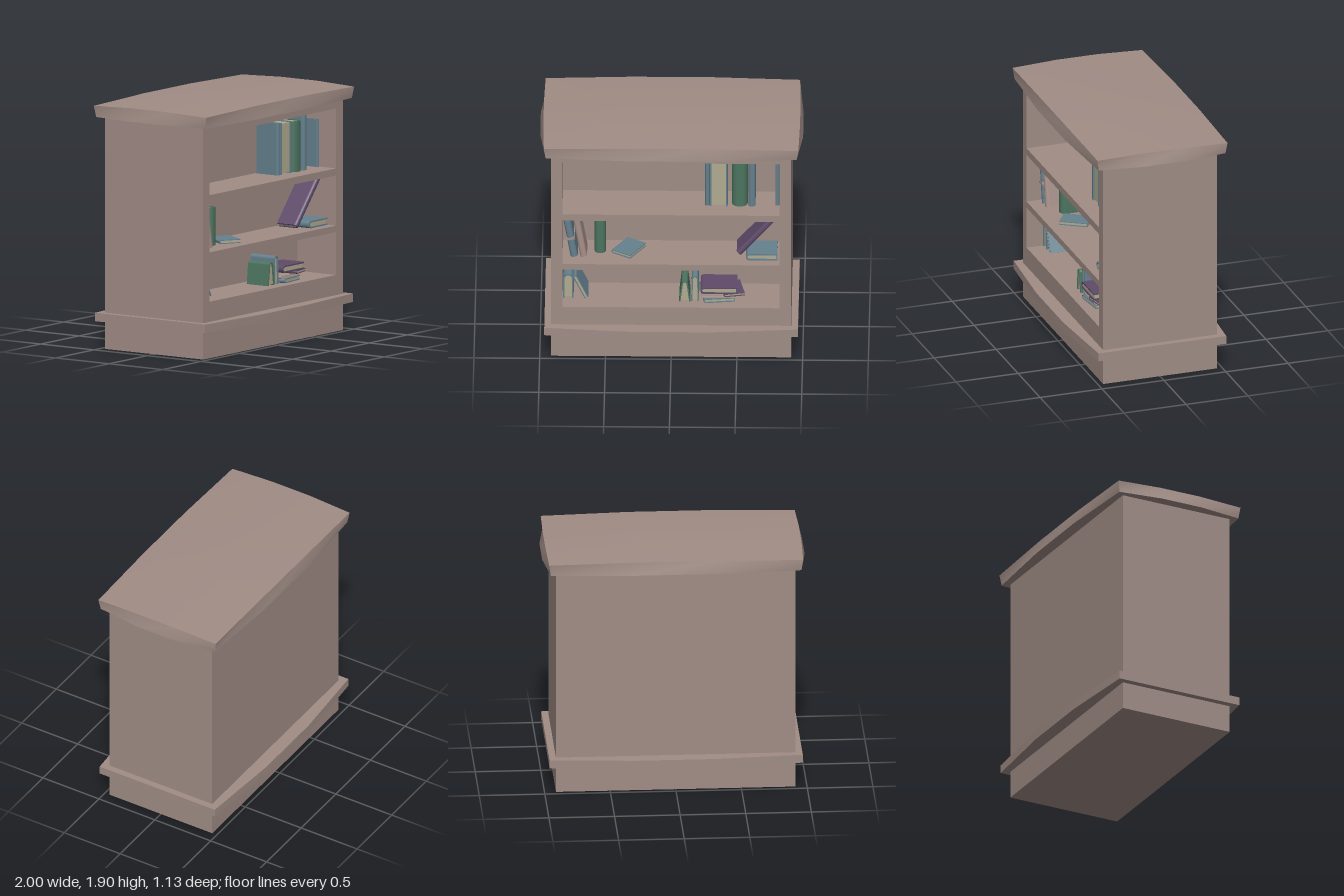
import * as THREE from 'three';

const mat = (name, color) => Object.assign(new THREE.MeshStandardMaterial({ color }), { name });

export function createModel() {
  const model = new THREE.Group();
  const wood = mat('wood', 0xa08c85);
  const blue = mat('blue cover', 0x64808d);
  const green = mat('green cover', 0x4c7560);
  const purple = mat('purple cover', 0x5e4a69);
  const pink = mat('tan cover', 0xa68f89);
  const paper = mat('paper', 0xb0aa8f);

  const add = (name, geo, material, parent = model) => {
    const m = new THREE.Mesh(geo, material);
    m.name = name;
    parent.add(m);
    return m;
  };
  const rect = (P, x0, x1, y0, y1) => {
    const p = new P();
    p.moveTo(x0, y0); p.lineTo(x1, y0); p.lineTo(x1, y1); p.lineTo(x0, y1); p.closePath();
    return p;
  };

  // Case: solid back half and a front half with three shelf openings
  const BACK = 0.1, FRONT = 0.46, HALF = 0.913, TOP = 1.79;
  const face = rect(THREE.Shape, -HALF, HALF, 0, TOP);
  for (const [y0, y1] of [[0.435, 0.765], [0.815, 1.2], [1.255, 1.715]])
    face.holes.push(rect(THREE.Path, -0.828, 0.823, y0, y1));
  add('shelfFrame', new THREE.ExtrudeGeometry(face, { depth: FRONT - BACK, bevelEnabled: false }), wood)
    .position.z = BACK;
  add('caseBack', new THREE.BoxGeometry(HALF * 2, TOP, FRONT + BACK), wood)
    .position.set(0, TOP / 2, (BACK - FRONT) / 2);

  // Slab with a 3 x 3 grid whose vertices are moved by a rule(cornerX, cornerZ, isTop)
  const slab = (name, rule) => {
    const geo = new THREE.BoxGeometry(2, 2, 2, 3, 1, 3);
    const p = geo.attributes.position;
    for (let i = 0; i < p.count; i++) {
      const x = p.getX(i), z = p.getZ(i);
      const endX = Math.abs(x) > 0.9, endZ = Math.abs(z) > 0.9;
      const [w, y, d] = rule(endX, endZ, p.getY(i) > 0);
      p.setXYZ(i, Math.sign(x) * w, y, Math.sign(z) * d);
    }
    geo.computeVertexNormals();
    add(name, geo, wood);
  };
  // Crowned top with flared, bowed edges
  slab('topSlab', (ex, ez, top) => {
    const corner = ex && ez;
    if (top) return [ex ? (corner ? 0.968 : 0.976) : 0.307,
      corner ? 1.872 : ex || ez ? 1.885 : 1.904,
      ez ? (corner ? 0.524 : 0.532) : 0.17];
    return [ex ? (corner ? 0.955 : 1.0) : 0.307, 1.785, ez ? (corner ? 0.512 : 0.552) : 0.17];
  });
  // Base moulding, bowed at front and back
  slab('baseMoulding', (ex, ez, top) =>
    [ex ? 0.965 : 0.307, top ? 0.28 : 0.215, ez ? (ex ? 0.515 : 0.565) : 0.17]);

  // Arched outline, spine at +y, lying within thickness t and length l
  const arch = (t, l, spread, inset, P = THREE.Shape) => {
    const b = t / 2 + spread - inset, a = t / 2 - inset, top = l / 2 - inset;
    const shoulder = top - t * 0.45;
    const s = new P();
    s.moveTo(-b, -l / 2 + inset);
    s.lineTo(-a, shoulder);
    s.quadraticCurveTo(-a * 0.9, top, 0, top);
    s.quadraticCurveTo(a * 0.9, top, a, shoulder);
    s.lineTo(b, -l / 2 + inset);
    return s;
  };
  // Book: cover wraps the spine and both sides, pages sit inside
  const book = (cover, t, l, h, pos, rot, spread = 0) => {
    const c = Math.min(0.012, t * 0.2);
    const g = new THREE.Group();
    g.name = 'book';
    const wrap = arch(t, l, spread, 0);
    const inner = arch(t, l, spread, c).getPoints(6).reverse();
    wrap.lineTo(inner[0].x, -l / 2);
    inner.slice(1, -1).forEach(q => wrap.lineTo(q.x, q.y));
    wrap.lineTo(inner[inner.length - 1].x, -l / 2);
    wrap.closePath();
    const o = { bevelEnabled: false, curveSegments: 6 };
    add('cover', new THREE.ExtrudeGeometry(wrap, { ...o, depth: h }).translate(0, 0, -h / 2), cover, g);
    const ph = h - 0.016;
    add('pages', new THREE.ExtrudeGeometry(arch(t, l, spread, c), { ...o, depth: ph })
      .translate(0, 0, -ph / 2), paper, g);
    g.position.set(...pos);
    g.rotation.set(...rot, 'YZX');
    model.add(g);
    return g;
  };
  const Q = Math.PI / 2;
  const spineOut = (lean = 0) => [Q, 0, lean];
  const pagesOut = [-Q, 0, 0];
  const flat = (yaw = 0) => [0, yaw, Q];

  // Top shelf
  book(blue, 0.036, 0.2, 0.4, [0.274, 1.457, 0.22], spineOut());
  book(blue, 0.134, 0.21, 0.4, [0.361, 1.456, 0.22], pagesOut);
  book(green, 0.12, 0.21, 0.39, [0.52, 1.45, 0.22], spineOut());
  book(blue, 0.053, 0.21, 0.455, [0.613, 1.483, 0.22], spineOut());
  book(blue, 0.03, 0.2, 0.365, [0.805, 1.438, 0.21], spineOut());

  // Middle shelf
  const strapped = book(blue, 0.055, 0.19, 0.325, [-0.767, 0.983, 0.27], spineOut(0.17));
  add('strap', new THREE.BoxGeometry(0.066, 0.2, 0.016), pink, strapped);
  book(pink, 0.052, 0.19, 0.325, [-0.694, 0.983, 0.27], spineOut(0.17));
  book(green, 0.085, 0.2, 0.295, [-0.542, 0.963, 0.195], spineOut());
  book(blue, 0.03, 0.17, 0.22, [-0.327, 0.831, 0.24], flat(-0.56));
  book(purple, 0.046, 0.18, 0.443, [0.658, 1.0, 0.23], spineOut(-0.71));
  book(blue, 0.056, 0.24, 0.2, [0.687, 0.844, 0.29], flat());

  // Bottom shelf
  book(blue, 0.082, 0.212, 0.2, [-0.785, 0.541, 0.23], [0, 0, 0]);
  book(blue, 0.03, 0.215, 0.23, [-0.692, 0.539, 0.22], [0, 0, 0.44]);
  book(green, 0.05, 0.178, 0.2, [0.102, 0.524, 0.27], [0, 0, 0], 0.018);
  book(blue, 0.05, 0.218, 0.22, [0.18, 0.544, 0.25], [0, 0, 0], 0.005);
  book(blue, 0.034, 0.24, 0.18, [0.355, 0.452, 0.29], flat(0.12));
  book(pink, 0.02, 0.26, 0.18, [0.355, 0.479, 0.28], flat());
  book(purple, 0.025, 0.16, 0.2, [0.46, 0.501, 0.28], flat(0.2));
  book(purple, 0.055, 0.28, 0.2, [0.362, 0.543, 0.29], flat());

  return model;
}
